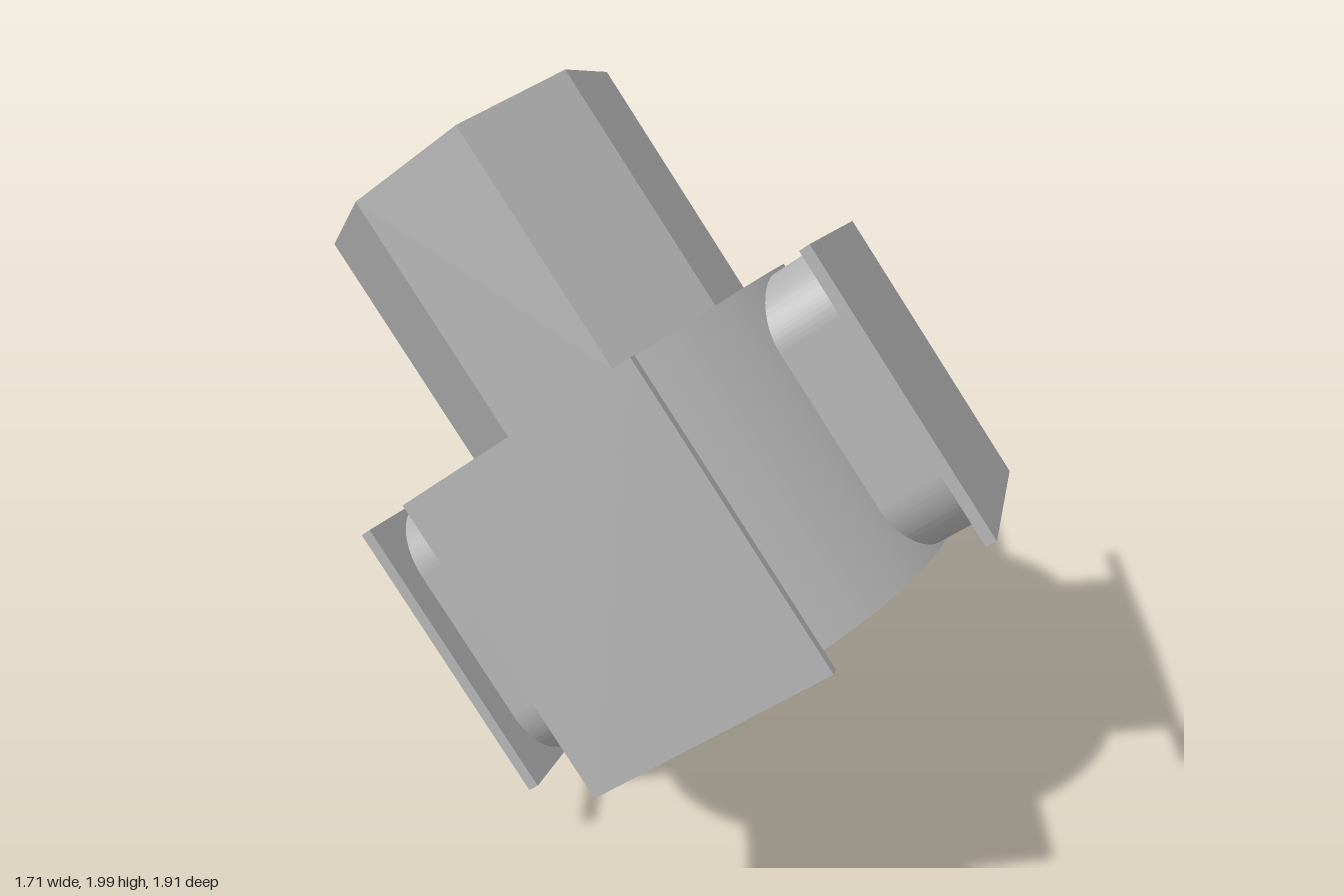
import * as THREE from 'three';
import { toCreasedNormals } from 'three/addons/utils/BufferGeometryUtils.js';

const metal = new THREE.MeshStandardMaterial({ color: 0xb0b0b0 });
metal.name = 'grey metal';

function part(name, geometry) {
  const mesh = new THREE.Mesh(toCreasedNormals(geometry, 0.5), metal);
  mesh.name = name;
  return mesh;
}

function extrude(shape, depth) {
  return new THREE.ExtrudeGeometry(shape, { depth, bevelEnabled: false, curveSegments: 24 });
}

function roundedRect(w, h, r) {
  const s = new THREE.Shape();
  s.moveTo(-w + r, -h);
  s.lineTo(w - r, -h);
  s.absarc(w - r, -h + r, r, -Math.PI / 2, 0);
  s.lineTo(w, h - r);
  s.absarc(w - r, h - r, r, 0, Math.PI / 2);
  s.lineTo(-w + r, h);
  s.absarc(-w + r, h - r, r, Math.PI / 2, Math.PI);
  s.lineTo(-w, -h + r);
  s.absarc(-w + r, -h + r, r, Math.PI, Math.PI * 1.5);
  return s;
}

export function createModel() {
  const model = new THREE.Group();
  model.name = 'hub';
  const bore = 0.32, hole = 0.13, radius = 0.565, half = 0.42, top = 1.13;

  // Round body, with the counterbores and the through hole in one closed profile
  const profile = [
    [hole, -0.21], [bore, -0.21], [bore, -half], [radius, -half], [radius, half],
    [bore, half], [bore, 0.93], [hole, 0.93], [hole, -0.21],
  ].map(([r, y]) => new THREE.Vector2(r, y));
  model.add(part('body', new THREE.LatheGeometry(profile, 96)));

  // Octagonal shaft around the upper bore
  const octagon = new THREE.Shape();
  for (let i = 0; i < 8; i++) {
    const a = (i + 0.5) * Math.PI / 4;
    octagon[i ? 'lineTo' : 'moveTo'](0.443 * Math.cos(a), 0.443 * Math.sin(a));
  }
  octagon.closePath();
  octagon.holes.push(new THREE.Path().absarc(0, 0, bore, 0, Math.PI * 2, true));
  const shaft = extrude(octagon, top - half);
  shaft.rotateX(-Math.PI / 2).translate(0, half, 0);
  model.add(part('shaft', shaft));

  // Four rounded necks, each carrying a square-cornered plate
  for (let i = 0; i < 4; i++) {
    const arm = new THREE.Group();
    arm.name = 'arm' + (i + 1);
    const neck = extrude(roundedRect(0.25, 0.41, 0.18), 0.27);
    neck.translate(0, 0, 0.44);
    const plate = new THREE.BoxGeometry(0.685, 2 * half, 0.03);
    plate.translate(0, 0, 0.719);
    arm.add(part('neck', neck), part('plate', plate));
    arm.rotation.y = i * Math.PI / 2;
    model.add(arm);
  }

  // Tilt the shaft up and back
  const axis = new THREE.Vector3(-0.145, 0.755, -0.64).normalize();
  const out = new THREE.Vector3(0.547, 0.599, 0.583);
  const side = new THREE.Vector3().crossVectors(axis, out).normalize();
  out.crossVectors(side, axis);
  model.setRotationFromMatrix(new THREE.Matrix4().makeBasis(side, axis, out));
  model.position.set(0, 0.858, 0.085);

  const root = new THREE.Group();
  root.name = 'tiltedHub';
  root.add(model);
  return root;
}
